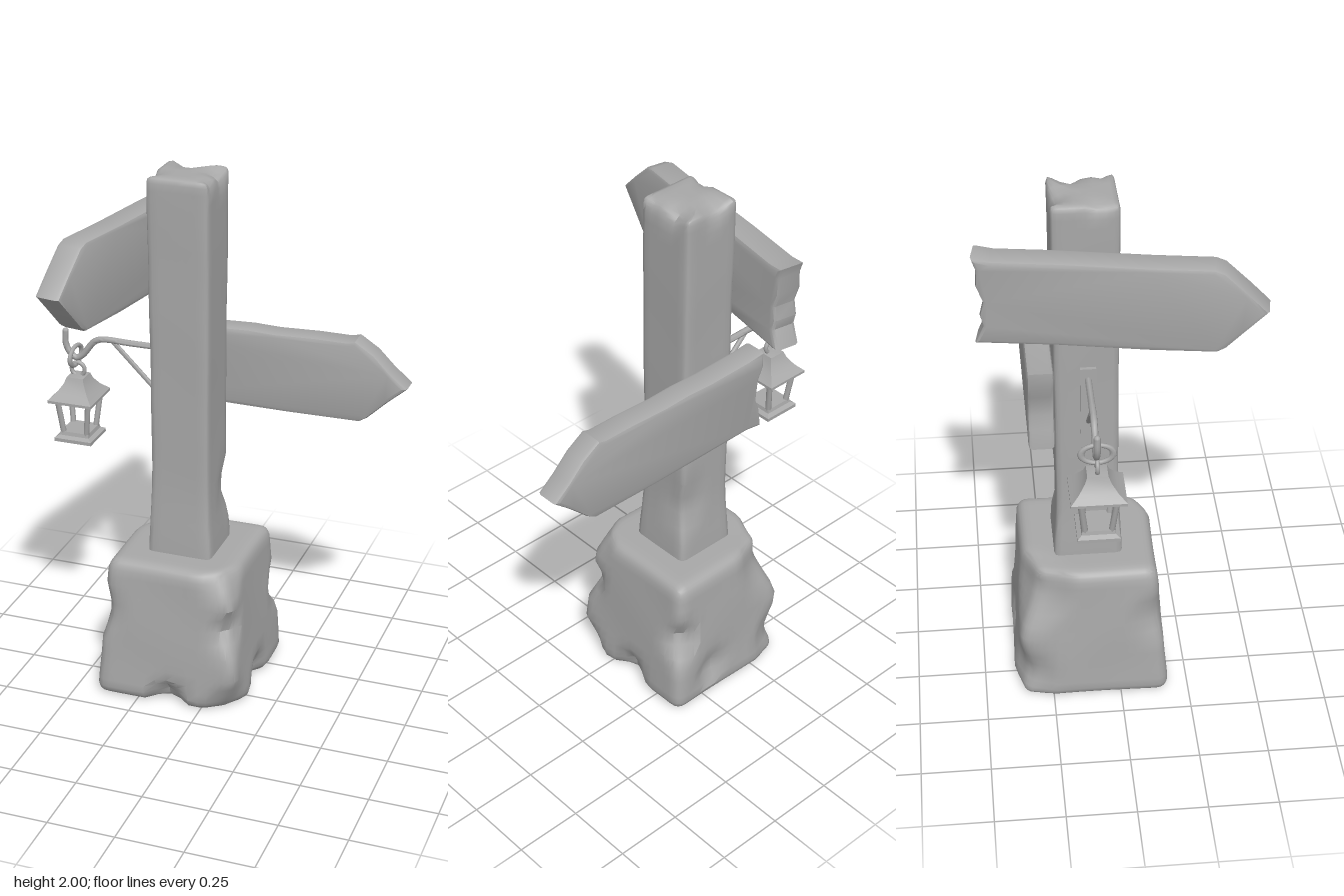
import * as THREE from 'three';
import { mergeVertices, toCreasedNormals } from 'three/addons/utils/BufferGeometryUtils.js';

const grey = new THREE.MeshStandardMaterial({ color: 0xa8a8a8 });
grey.name = 'weathered grey';

function part(name, geometry, parent, crease = 0.6) {
  const mesh = new THREE.Mesh(crease ? toCreasedNormals(geometry, crease) : geometry, grey);
  mesh.name = name;
  parent.add(mesh);
  return mesh;
}

// Rounded block standing on y = 0. widen(t) scales the plan at height t (0..1).
// Each dent is [x, y, z, radius, push x, push y, push z].
function hewnBlock(w, h, d, round, segs, widen, dents, wobble) {
  const geo = new THREE.BoxGeometry(2, 2, 2, ...segs);
  const pos = geo.attributes.position;
  const half = new THREE.Vector3(w / 2, h / 2, d / 2);
  const limit = half.clone().subScalar(round);
  const p = new THREE.Vector3(), inner = new THREE.Vector3(), c = new THREE.Vector3();
  const spread = (t) => Math.sin(t * Math.PI / 2); // denser rows near the edges
  for (let i = 0; i < pos.count; i++) {
    p.fromBufferAttribute(pos, i);
    p.set(spread(p.x), spread(p.y), spread(p.z)).multiply(half);
    inner.copy(p).clamp(limit.clone().negate(), limit);
    p.sub(inner).setLength(round).add(inner);
    p.y += h / 2;
    const s = widen(p.y / h);
    p.x *= s;
    p.z *= s;
    const wave = 1 + wobble * Math.sin(p.y * 11 + p.x * 9) * Math.cos(p.z * 10 - p.y * 5);
    p.x *= wave;
    p.z *= wave;
    const start = p.clone();
    for (const [x, y, z, r, dx, dy, dz] of dents) {
      const f = Math.max(0, 1 - start.distanceTo(c.set(x, y, z)) / r);
      p.add(c.set(dx, dy, dz).multiplyScalar(f));
    }
    pos.setXYZ(i, p.x, p.y, p.z);
  }
  geo.deleteAttribute('normal');
  geo.deleteAttribute('uv');
  return mergeVertices(geo, 1e-5);
}

// Plank cut from an outline, with softened edges, centred on its thickness
function plank(outline, thickness) {
  const b = 0.014;
  const shape = new THREE.Shape(outline.map(([x, y]) => new THREE.Vector2(x, y)));
  const geo = new THREE.ExtrudeGeometry(shape, {
    depth: thickness - 2 * b, bevelThickness: b, bevelSize: b, bevelOffset: -b, bevelSegments: 2,
  });
  return geo.translate(0, 0, b - thickness / 2);
}

function rod(points, radius, smooth) {
  const v = points.map((q) => new THREE.Vector3(...q));
  const path = smooth ? new THREE.CatmullRomCurve3(v) : new THREE.LineCurve3(v[0], v[1]);
  return new THREE.TubeGeometry(path, smooth ? 40 : 1, radius, 8);
}

// Four-sided solid turned from a half-width profile
function squareTurned(profile) {
  const pts = profile.map(([r, y]) => new THREE.Vector2(r * Math.SQRT2, y));
  return new THREE.LatheGeometry(pts, 4, Math.PI / 4);
}

export function createModel() {
  const model = new THREE.Group();
  model.name = 'signpost';

  // Stone footing, chipped along its corners and lower edge
  const stone = part('stoneBase', hewnBlock(0.55, 0.56, 0.55, 0.045, [20, 18, 20],
    (t) => 1.03 - 0.15 * t, [
      [0.0, 0.02, 0.28, 0.09, 0, 0.03, -0.05],
      [0.28, 0.03, 0.0, 0.1, -0.05, 0.03, 0],
      [0.25, 0.34, 0.25, 0.1, -0.04, 0, -0.04],
      [0.25, 0.31, -0.26, 0.1, -0.04, 0, 0.05],
      [0.1, 0.12, -0.28, 0.08, 0, 0, 0.04],
      [-0.27, 0.35, 0.25, 0.12, 0.03, 0, -0.02],
      [-0.26, 0.5, -0.25, 0.2, 0.06, -0.02, 0.06],
      [-0.28, 0.1, -0.28, 0.16, 0.05, 0, 0.05],
      [0.28, 0.0, 0.28, 0.14, -0.06, 0, -0.06],
      [0.24, 0.55, 0.24, 0.12, -0.04, 0, -0.04],
    ], 0.012), model);
  stone.position.set(-0.133, 0, -0.107);

  // Timber post with a slight waist and a split top
  const waist = (t) => 0.93 + 0.14 * Math.exp(-Math.pow(t / 0.14, 2)) + 0.06 * t;
  const post = part('post', hewnBlock(0.232, 1.5, 0.232, 0.02, [10, 26, 10], waist, [
    [0.11, 1.5, -0.04, 0.07, -0.02, -0.03, 0],
    [0.11, 1.5, 0.06, 0.05, -0.015, -0.015, 0],
    [-0.02, 1.5, -0.11, 0.07, 0, -0.03, 0.02],
    [-0.11, 1.5, 0.05, 0.05, 0.01, -0.015, 0],
    [0.11, 0.28, -0.11, 0.12, -0.02, 0, 0.03],
  ], 0.012), model);
  post.position.set(-0.135, 0.5, -0.107);

  // Lower sign, pointing to the left
  const lowerSign = part('lowerSign', plank([
    [-0.31, 1.085], [-0.24, 1.095], [0, 1.09], [0.2, 1.088], [0.47, 1.09], [0.5, 1.108],
    [0.575, 1.18], [0.645, 1.24], [0.58, 1.295], [0.52, 1.355], [0.45, 1.4], [0.42, 1.392],
    [0.3, 1.393], [0.15, 1.388], [0.05, 1.392], [-0.06, 1.388], [-0.24, 1.393], [-0.31, 1.4],
    [-0.312, 1.34], [-0.29, 1.29], [-0.282, 1.21], [-0.3, 1.16],
  ], 0.092), model);
  lowerSign.position.z = -0.268;

  // Upper sign, pointing forward across the right side of the post
  const upperSign = part('upperSign', plank([
    [-0.48, 1.53], [-0.2, 1.535], [0.1, 1.532], [0.32, 1.537], [0.35, 1.555], [0.41, 1.62],
    [0.485, 1.7], [0.42, 1.765], [0.34, 1.84], [0.305, 1.853], [0.1, 1.85], [-0.2, 1.852],
    [-0.42, 1.848], [-0.485, 1.856], [-0.47, 1.81], [-0.472, 1.75], [-0.45, 1.69],
    [-0.462, 1.64], [-0.452, 1.6],
  ], 0.098), model);
  upperSign.position.x = -0.335;
  upperSign.rotation.y = -(Math.PI / 2 + 0.175);

  // Iron bracket: wall plate, arm ending in a hook, and brace
  const z = -0.103;
  const bracket = new THREE.Group();
  bracket.name = 'lanternBracket';
  model.add(bracket);
  part('wallPlate', new THREE.BoxGeometry(0.02, 0.27, 0.055).translate(-0.25, 1.24, z), bracket);
  part('arm', rod([
    [-0.25, 1.33, z], [-0.36, 1.33, z], [-0.47, 1.33, z], [-0.5, 1.318, z], [-0.55, 1.258, z],
    [-0.575, 1.245, z], [-0.6, 1.265, z], [-0.615, 1.3, z], [-0.614, 1.345, z],
  ], 0.012, true), bracket, 1);
  part('armTip', new THREE.SphereGeometry(0.012, 8, 6).translate(-0.614, 1.345, z), bracket, 0);
  part('brace', rod([[-0.425, 1.325, z], [-0.25, 1.15, z]], 0.009), bracket, 1);

  // Hanging lantern
  const lantern = new THREE.Group();
  lantern.name = 'lantern';
  lantern.position.set(-0.567, 0, -0.1);
  model.add(lantern);
  const link = part('chainLink', new THREE.TorusGeometry(0.036, 0.008, 8, 20), lantern, 0);
  link.position.set(-0.008, 1.255, 0);
  link.rotation.y = Math.PI / 2;
  link.scale.set(1.5, 1, 1);
  const loop = part('topLoop', new THREE.TorusGeometry(0.026, 0.008, 8, 20), lantern, 0);
  loop.position.y = 1.202;
  part('roof', squareTurned([
    [0, 1.09], [0.086, 1.09], [0.086, 1.1], [0.06, 1.125], [0.04, 1.155], [0.032, 1.178], [0, 1.186],
  ]), lantern).scale.z = 1.1;
  part('floor', squareTurned([
    [0, 0.93], [0.073, 0.93], [0.073, 0.943], [0.058, 0.952], [0.055, 0.966], [0, 0.966],
  ]), lantern);
  // Four leaning corner bars
  for (const sx of [-1, 1]) {
    for (const sz of [-1, 1]) {
      part('cornerBar', rod([
        [sx * 0.045, 0.955, sz * 0.045], [sx * 0.061, 1.095, sz * 0.061],
      ], 0.011), lantern, 1);
    }
  }
  return model;
}
